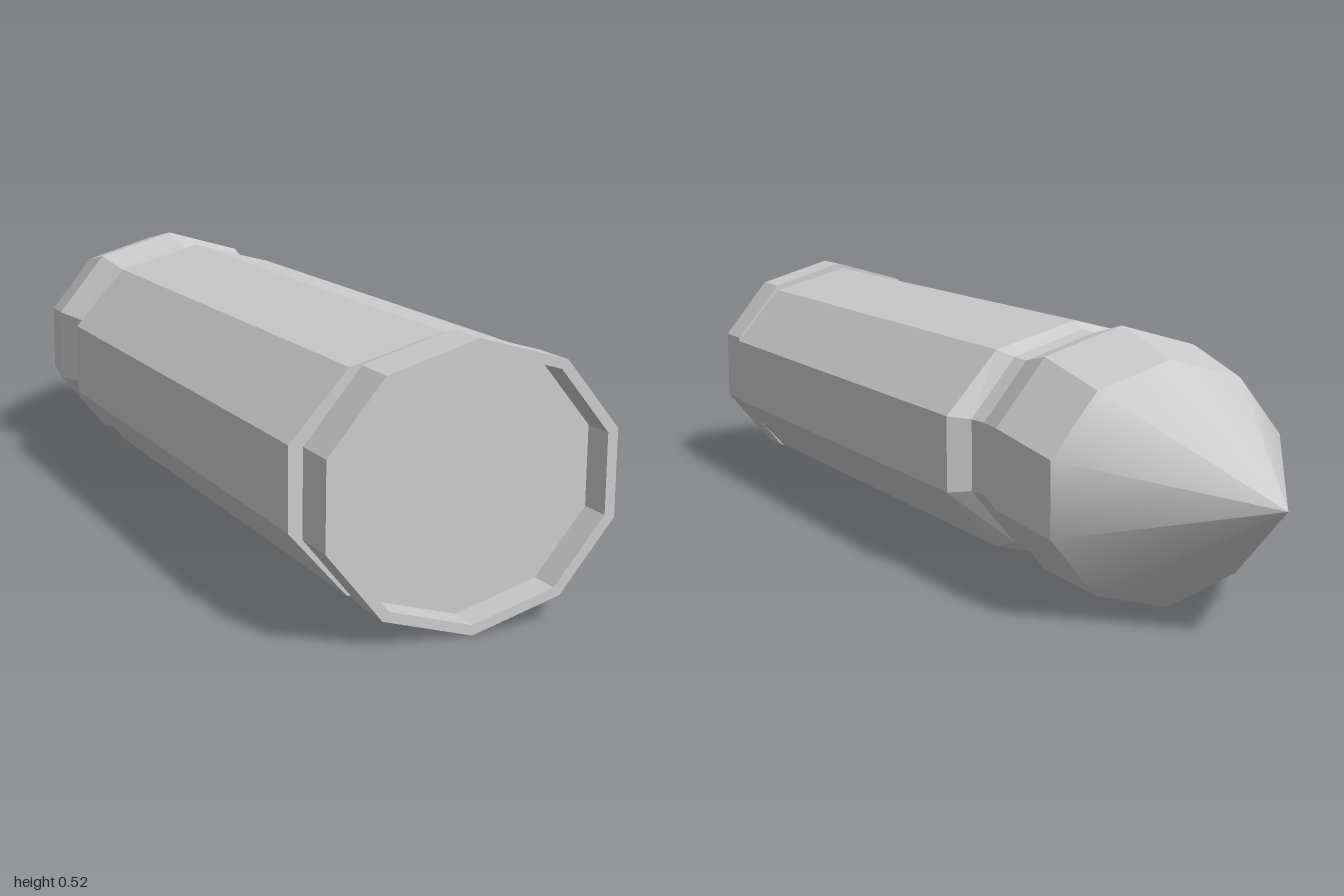
import * as THREE from 'three';

const SIDES = 10;
const flatGrey = new THREE.MeshStandardMaterial({ color: 0xcccccc, flatShading: true });
const smoothGrey = new THREE.MeshStandardMaterial({ color: 0xcccccc });

// Skin ten-sided elliptical rings [z, radiusX, radiusY, centreX, centreY], listed from +z to -z
function loft(name, rings, material) {
  const positions = [];
  const indices = [];
  for (const [z, rx, ry, cx = 0, cy = 0.259] of rings) {
    for (let i = 0; i < SIDES; i++) {
      const a = Math.PI / 2 + (i / SIDES) * Math.PI * 2;
      positions.push(cx + rx * Math.cos(a), cy + ry * Math.sin(a), z);
    }
  }
  for (let k = 0; k < rings.length - 1; k++) {
    for (let i = 0; i < SIDES; i++) {
      const j = (i + 1) % SIDES;
      const a = k * SIDES + i, b = k * SIDES + j;
      const c = a + SIDES, d = b + SIDES;
      if (rings[k][1] > 0) indices.push(a, c, b);
      if (rings[k + 1][1] > 0) indices.push(b, c, d);
    }
  }
  const geometry = new THREE.BufferGeometry();
  geometry.setAttribute('position', new THREE.Float32BufferAttribute(positions, 3));
  geometry.setIndex(indices);
  geometry.computeVertexNormals();
  const mesh = new THREE.Mesh(geometry, material);
  mesh.name = name;
  return mesh;
}

export function createModel() {
  const group = new THREE.Group();
  group.name = 'cartridge';

  // Base rim with a recessed end face
  group.add(loft('baseRim', [
    [0.94, 0, 0],
    [0.94, 0.271, 0.239],
    [1, 0.271, 0.239],
    [1, 0.292, 0.258],
    [0.91, 0.292, 0.258],
    [0.91, 0.272, 0.239],
  ], flatGrey));

  // Narrow groove between rim and case
  group.add(loft('extractorGroove', [
    [0.91, 0.272, 0.239],
    [0.88, 0.272, 0.239],
  ], flatGrey));

  // Long case with a bevelled shoulder
  group.add(loft('caseBody', [
    [0.88, 0.272, 0.239],
    [0.88, 0.306, 0.248],
    [-0.3, 0.306, 0.248],
    [-0.33, 0.264, 0.233],
  ], flatGrey));

  // Neck flaring into the bullet, which narrows slightly off centre
  const noseRing = [-0.67, 0.267, 0.236, 0.016, 0.242];
  group.add(loft('bullet', [
    [-0.33, 0.264, 0.233],
    [-0.37, 0.258, 0.23],
    [-0.47, 0.29, 0.256, -0.003, 0.26],
    noseRing,
  ], flatGrey));

  // Smooth-shaded pointed nose
  group.add(loft('noseCone', [noseRing, [-1, 0, 0, -0.005, 0.26]], smoothGrey));

  return group;
}
